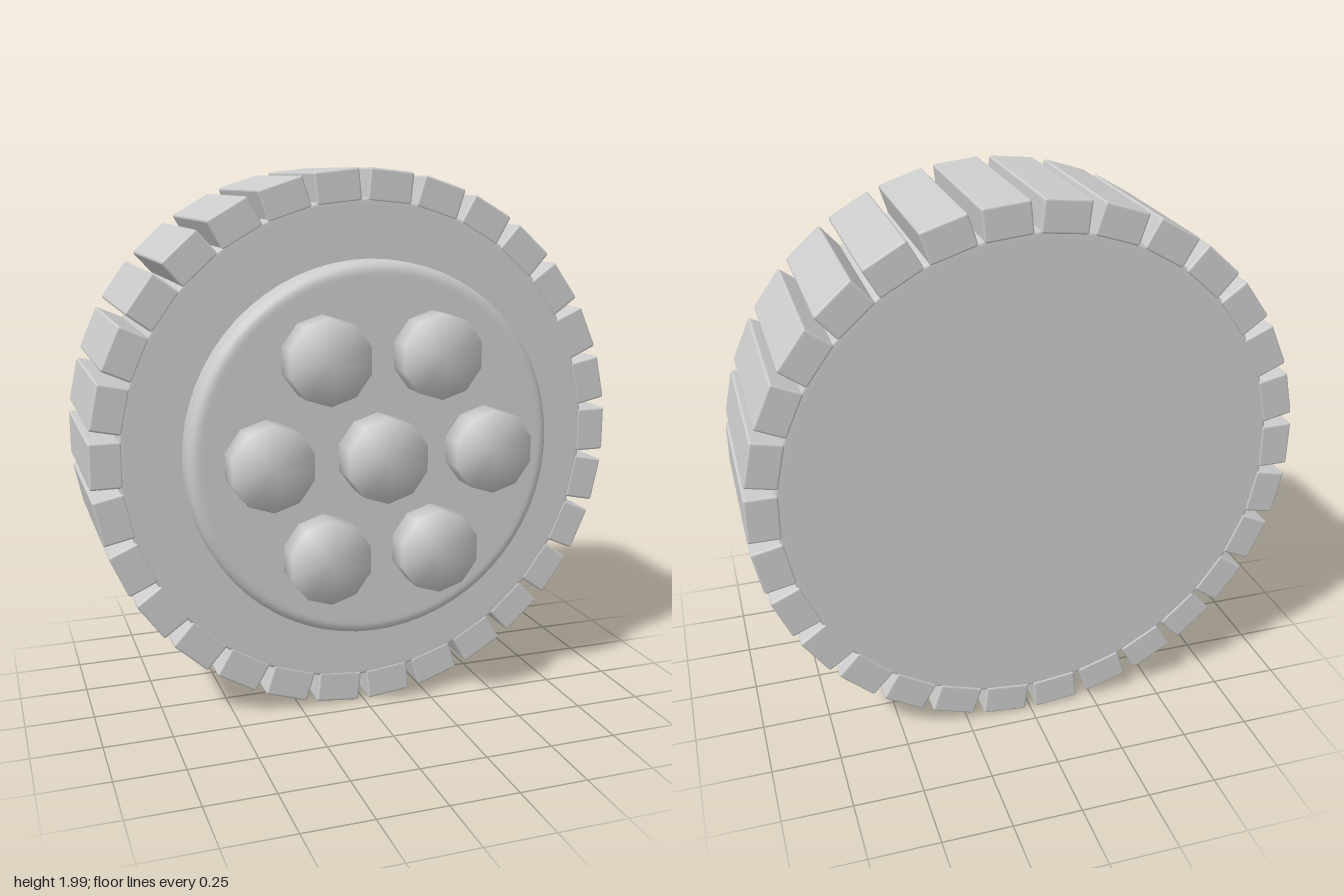
import * as THREE from 'three';
import { mergeVertices } from 'three/addons/utils/BufferGeometryUtils.js';
import { RoundedBoxGeometry } from 'three/addons/geometries/RoundedBoxGeometry.js';

const material = new THREE.MeshStandardMaterial({ color: 0xcccccc });

// Disc along z with rounded rims, smooth round the corners and flat on the faces
function roundedDisc(radius, z0, z1, bevel, segments) {
  const profile = [new THREE.Vector2(0, z0), new THREE.Vector2((radius - bevel) * 0.98, z0)];
  const steps = 5;
  for (const [z, start] of [[z0 + bevel, -Math.PI / 2], [z1 - bevel, 0]]) {
    for (let i = 0; i <= steps; i++) {
      const a = start + (i / steps) * Math.PI / 2;
      profile.push(new THREE.Vector2(radius - bevel + bevel * Math.cos(a), z + bevel * Math.sin(a)));
    }
  }
  profile.push(new THREE.Vector2((radius - bevel) * 0.98, z1), new THREE.Vector2(0, z1));
  return new THREE.LatheGeometry(profile, segments).rotateX(Math.PI / 2);
}

// Ten-sided bolt with normals blended over its edges
function boltGeometry(z0, z1) {
  let geometry = new THREE.CylinderGeometry(0.152, 0.152, z1 - z0, 10);
  geometry.deleteAttribute('normal');
  geometry.deleteAttribute('uv');
  geometry = mergeVertices(geometry);
  geometry.computeVertexNormals();
  return geometry.rotateX(Math.PI / 2).translate(0, 0, (z0 + z1) / 2);
}

export function createModel() {
  const model = new THREE.Group();
  model.name = 'wheel';

  function add(parent, name, geometry, x = 0, y = 0, z = 0) {
    const mesh = new THREE.Mesh(geometry, material);
    mesh.name = name;
    mesh.position.set(x, y, z);
    parent.add(mesh);
    return mesh;
  }

  const wheel = new THREE.Group();
  wheel.name = 'wheelAssembly';
  wheel.position.y = 1;
  model.add(wheel);

  // Tyre body and raised hub plate
  add(wheel, 'tyreBody', roundedDisc(0.895, -0.432, 0.177, 0.012, 96));
  add(wheel, 'hubPlate', roundedDisc(0.68, 0.175, 0.315, 0.04, 64), 0, 0.005, 0);

  // Tread blocks round the rim
  const treads = new THREE.Group();
  treads.name = 'treads';
  wheel.add(treads);
  const block = new RoundedBoxGeometry(0.116, 0.167, 0.615, 2, 0.009);
  const count = 30;
  for (let i = 0; i < count; i++) {
    const a = (i / count) * Math.PI * 2;
    const r = 0.937;
    add(treads, 'treadBlock', block, Math.cos(a) * r, Math.sin(a) * r, -0.1285).rotation.z = a;
  }

  // One centre bolt with six around it
  const bolts = new THREE.Group();
  bolts.name = 'bolts';
  bolts.position.y = 0.003;
  wheel.add(bolts);
  add(bolts, 'centreBolt', boltGeometry(0.28, 0.433));
  const outerBolt = boltGeometry(0.28, 0.418);
  for (let i = 0; i < 6; i++) {
    const a = (i / 6) * Math.PI * 2;
    add(bolts, 'outerBolt', outerBolt, Math.cos(a) * 0.408, Math.sin(a) * 0.408);
  }
  return model;
}
